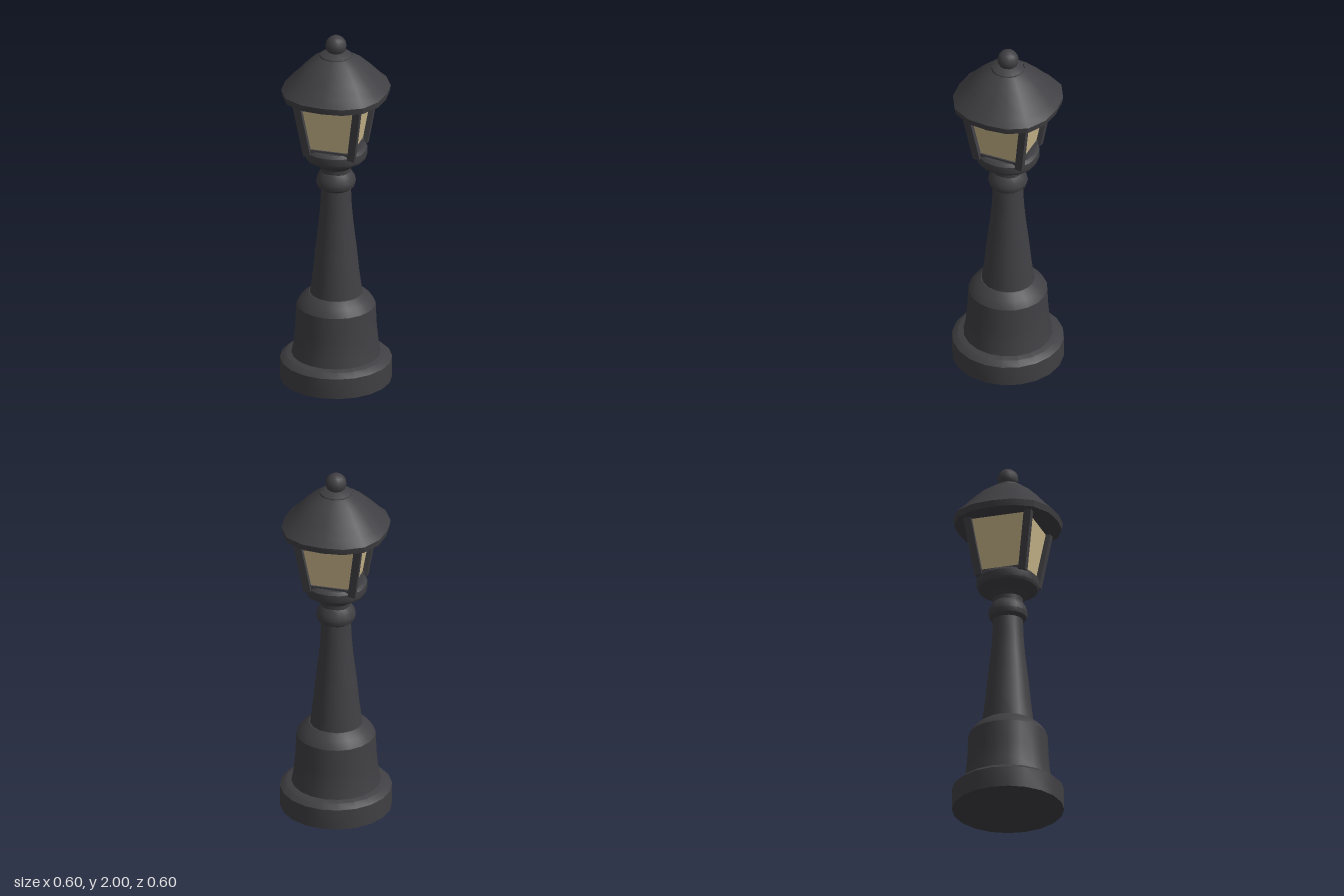
import * as THREE from 'three';
import { toCreasedNormals } from 'three/addons/utils/BufferGeometryUtils.js';

export function createModel() {
  const iron = new THREE.MeshStandardMaterial({ color: 0x404044 });
  iron.name = 'darkIron';
  const glass = new THREE.MeshStandardMaterial({ color: 0xcbb88c });
  glass.name = 'warmGlass';

  const model = new THREE.Group();
  model.name = 'streetLamp';

  const add = (name, geometry, material = iron) => {
    const mesh = new THREE.Mesh(geometry, material);
    mesh.name = name;
    model.add(mesh);
    return mesh;
  };

  // Turned part from [radius, height] pairs; square > 0 pushes the diagonals outward
  const turned = (name, profile, sides, square = 0) => {
    const g = new THREE.LatheGeometry(profile.map(([r, y]) => new THREE.Vector2(r, y)), sides);
    const p = g.attributes.position;
    for (let i = 0; i < p.count; i++) {
      const x = p.getX(i), z = p.getZ(i);
      const k = 1 + square * (1 - Math.cos(4 * Math.atan2(z, x))) / 2;
      p.setX(i, x * k);
      p.setZ(i, z * k);
    }
    return add(name, toCreasedNormals(g, 0.5));
  };

  // Stepped pedestal
  turned('plinth', [[0, 0], [0.3, 0], [0.3, 0.115], [0.27, 0.14], [0.2, 0.155], [0, 0.155]], 20);
  turned('pedestal', [[0.24, 0.14], [0.228, 0.2], [0.218, 0.3], [0.212, 0.43], [0.185, 0.47],
    [0.145, 0.5], [0, 0.5]], 20);

  // Tapered shaft with collar
  turned('shaft', [[0.142, 0.49], [0.125, 0.62], [0.112, 0.75], [0.094, 0.9], [0.085, 1.0],
    [0.08, 1.12]], 16);
  turned('collar', [[0.075, 1.105], [0.1, 1.125], [0.107, 1.15], [0.1, 1.18], [0.082, 1.21],
    [0.07, 1.225]], 16);

  // Flared cup carrying the lantern
  turned('lanternCup', [[0.078, 1.2], [0.08, 1.235], [0.12, 1.268], [0.158, 1.29], [0.166, 1.305],
    [0.166, 1.345], [0.15, 1.36], [0, 1.36]], 16, 0.04);

  // Glass housing: a square frustum, wider at the top
  const lowY = 1.35, highY = 1.67, lowHalf = 0.116, highHalf = 0.165;
  const pane = new THREE.CylinderGeometry(highHalf * Math.SQRT2, lowHalf * Math.SQRT2,
    highY - lowY, 4, 1, true, Math.PI / 4);
  add('glassPanes', toCreasedNormals(pane, 0.5), glass).position.y = (lowY + highY) / 2;

  // Leaning corner posts and lower rails
  const up = new THREE.Vector3(0, 1, 0);
  for (const sx of [-1, 1]) {
    for (const sz of [-1, 1]) {
      const a = new THREE.Vector3(sx * 0.122, lowY - 0.01, sz * 0.122);
      const b = new THREE.Vector3(sx * 0.171, highY, sz * 0.171);
      const post = add('cornerPost', new THREE.BoxGeometry(0.04, a.distanceTo(b), 0.04));
      post.position.copy(a).lerp(b, 0.5);
      post.quaternion.setFromUnitVectors(up, b.clone().sub(a).normalize());
    }
  }
  for (let i = 0; i < 4; i++) {
    const angle = i * Math.PI / 2;
    const rail = add('lowerRail', new THREE.BoxGeometry(0.24, 0.022, 0.025));
    rail.position.set(Math.sin(angle) * 0.116, 1.36, Math.cos(angle) * 0.116);
    rail.rotation.y = angle;
  }

  // Domed roof with thick rim, and finial
  turned('roof', [[0, 1.66], [0.278, 1.66], [0.284, 1.695], [0.248, 1.73], [0.195, 1.79],
    [0.135, 1.85], [0.085, 1.885]], 16, 0.075);
  turned('roofCap', [[0.09, 1.872], [0.086, 1.89], [0.05, 1.91], [0, 1.915]], 16);
  add('finial', new THREE.SphereGeometry(0.057, 12, 8)).position.y = 1.943;

  return model;
}
